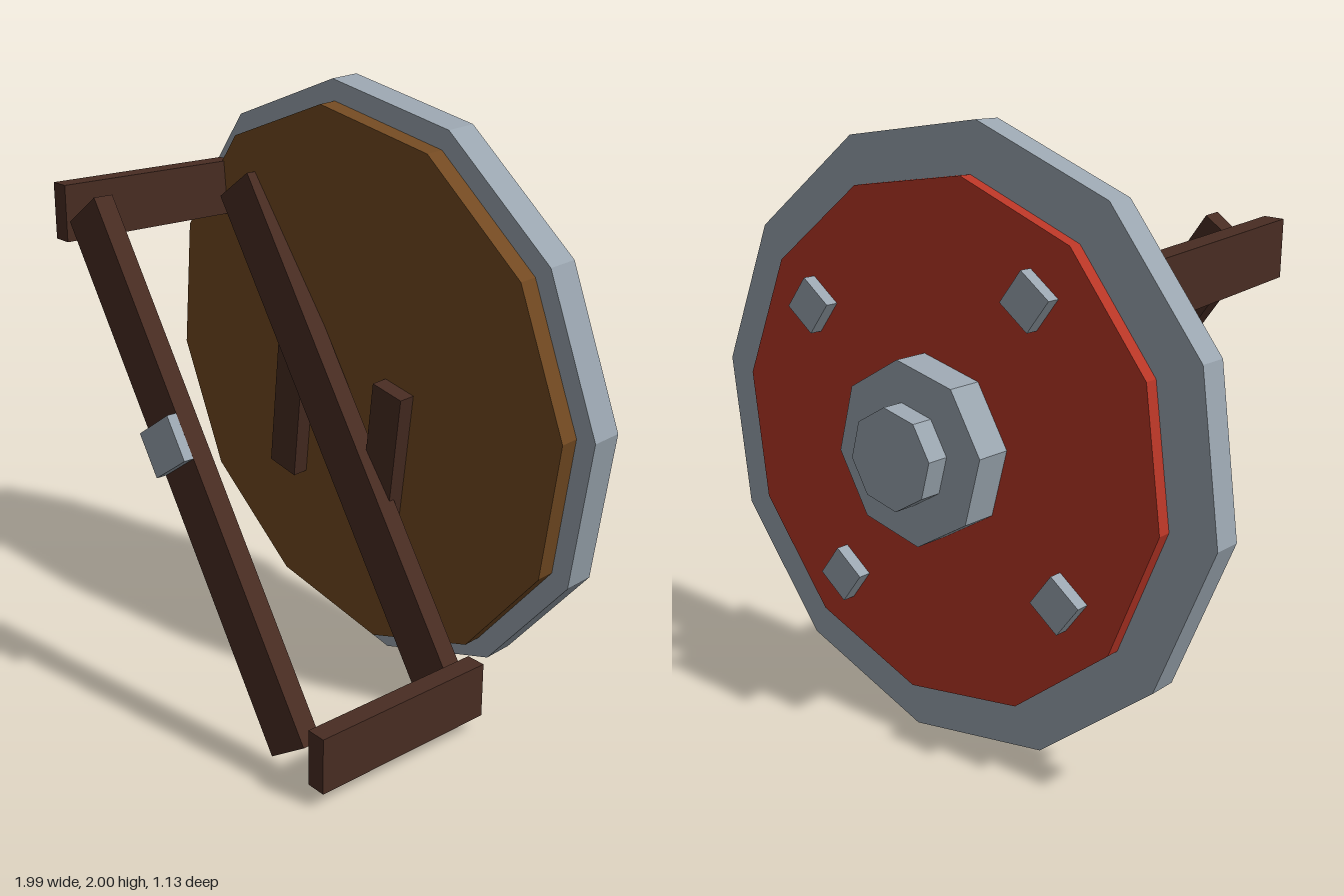
import * as THREE from 'three';

const material = (name, color) => {
  const m = new THREE.MeshStandardMaterial({ color });
  m.name = name;
  return m;
};

export function createModel() {
  const metal = material('grey metal', 0x9aa5af);
  const paint = material('red paint', 0xb83626);
  const wood = material('brown wood', 0x734a22);
  const leather = material('dark leather', 0x482c22);

  const model = new THREE.Group();
  model.name = 'roundShield';
  const SPIN = THREE.MathUtils.degToRad(34.3);
  const TILT = THREE.MathUtils.degToRad(4);

  const add = (parent, name, geometry, mat, x = 0, y = 0, z = 0, turn = 0) => {
    const mesh = new THREE.Mesh(geometry, mat);
    mesh.name = name;
    mesh.position.set(x, y, z);
    mesh.rotation.z = turn;
    parent.add(mesh);
    return mesh;
  };

  // Faceted disc lying across z, between two depths
  const disc = (radius, sides, back, front) =>
    new THREE.CylinderGeometry(radius, radius, front - back, sides)
      .toNonIndexed()
      .rotateX(Math.PI / 2)
      .translate(0, 0, (front + back) / 2);

  const flat = (geometry) => {
    geometry.computeVertexNormals();
    return geometry;
  };

  // Shield body: leaning group holding a spun group
  const lean = new THREE.Group();
  lean.name = 'shieldLean';
  lean.position.set(0, 1.005, -0.26);
  lean.rotation.x = TILT;
  model.add(lean);
  const shield = new THREE.Group();
  shield.name = 'shield';
  shield.rotation.z = SPIN;
  lean.add(shield);

  add(shield, 'rim', flat(disc(1, 12, -0.05, 0.05)), metal);
  add(shield, 'woodenBacking', flat(disc(0.93, 12, 0.04, 0.11)), wood);
  add(shield, 'paintedFace', flat(disc(0.84, 12, -0.097, -0.04)), paint);
  add(shield, 'bossBase', flat(disc(0.29, 8, -0.22, -0.09)), metal);
  add(shield, 'bossCap', flat(disc(0.16, 8, -0.297, -0.21)), metal);

  // Four square rivets around the boss
  for (let i = 0; i < 4; i++) {
    const a = (i * Math.PI) / 2;
    add(shield, 'rivet', new THREE.BoxGeometry(0.127, 0.127, 0.06), metal,
      0.632 * Math.cos(a), 0.632 * Math.sin(a), -0.112);
  }

  // Pair of slats fixed to the wooden backing
  for (const s of [-1, 1]) {
    add(shield, 'backSlat', new THREE.BoxGeometry(0.13, 0.54, 0.07), leather,
      -0.117 + s * 0.167, -0.113 - s * 0.167, 0.13, -Math.PI / 4);
  }

  // Arm strap: two slanted bars joined by end pieces
  const strap = new THREE.Group();
  strap.name = 'armStrap';
  strap.position.set(0, 0.863, 0);
  model.add(strap);
  for (const [name, z] of [['frontBar', 0.495], ['rearBar', -0.104]]) {
    add(strap, name, new THREE.BoxGeometry(0.183, 1.79, 0.067), leather, 0, 0, z, SPIN);
  }
  for (const s of [-1, 1]) {
    add(strap, 'strapEnd', new THREE.BoxGeometry(0.067, 0.185, 0.666), leather,
      s * 0.634, -s * 0.709, 0.195);
  }

  // Metal buckle on the front bar
  add(strap, 'buckle', new THREE.BoxGeometry(0.184, 0.15, 0.04), metal,
    -0.056, 0.081, 0.542, SPIN);

  return model;
}
